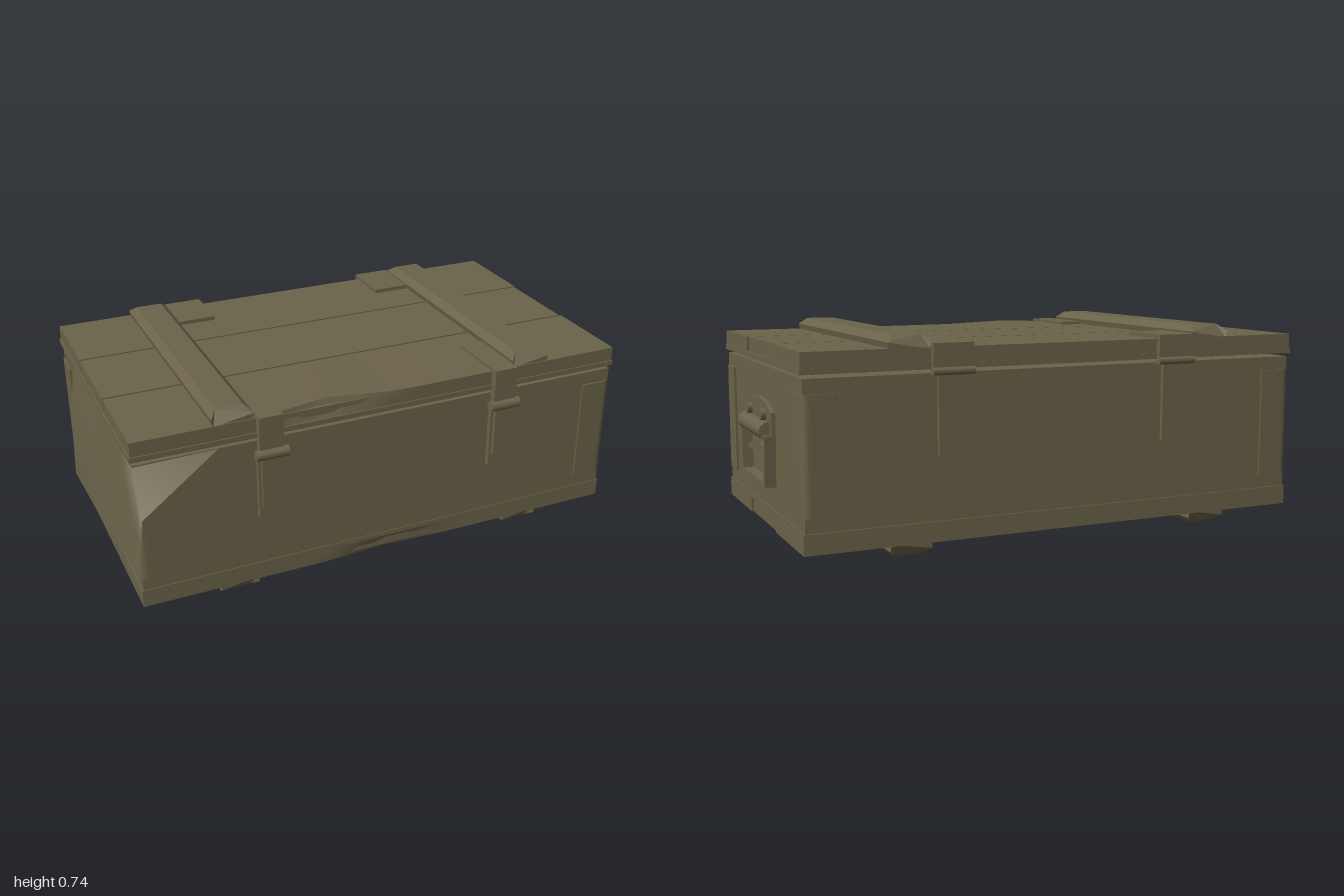
import * as THREE from 'three';
import { mergeVertices } from 'three/addons/utils/BufferGeometryUtils.js';

export function createModel() {
  const model = new THREE.Group();
  model.name = 'crate';
  const olive = new THREE.MeshStandardMaterial({ color: 0x6b6349 });
  olive.name = 'olive paint';
  const canvas = new THREE.MeshStandardMaterial({ color: 0x6b6349, side: THREE.DoubleSide });
  canvas.name = 'olive canvas';

  const add = (name, geo, parent = model, mat = olive) => {
    const mesh = new THREE.Mesh(geo, mat);
    mesh.name = name;
    parent.add(mesh);
    return mesh;
  };
  // Box from its limits
  const box = (name, x0, x1, y0, y1, z0, z1, parent = model, seg = 1) => {
    const g = new THREE.BoxGeometry(x1 - x0, y1 - y0, z1 - z0, seg, 1, 1);
    g.translate((x0 + x1) / 2, (y0 + y1) / 2, (z0 + z1) / 2);
    return add(name, g, parent);
  };
  const group = (name) => {
    const g = new THREE.Group();
    g.name = name;
    model.add(g);
    return g;
  };
  const polygon = (pts) => new THREE.Shape(pts.map((p) => new THREE.Vector2(...p)));
  const extrude = (shape, depth) =>
    new THREE.ExtrudeGeometry(shape, { depth, bevelEnabled: false, curveSegments: 6 });

  // Main body
  box('body', -0.935, 0.945, 0.105, 0.61, -0.625, 0.435);

  // Lid and base, three planks each, with worn front edges
  const lid = group('lid'), base = group('base');
  const strips = [[-0.63, -0.277], [-0.268, 0.075], [0.084, 0.435]];
  strips.forEach(([z0, z1], i) => {
    const end = i === 1 ? 0.945 : 0.952;
    const top = box('lidPlank', -0.94, end, 0.64, 0.695, z0, z1, lid, 16);
    const bottom = box('basePlank', -0.94, end, 0.043, 0.098, z0, z1, base, 16);
    if (i === 2) {
      for (const [mesh, centre, s] of [[top, -0.23, 1], [bottom, 0.02, -1]]) {
        const p = mesh.geometry.attributes.position;
        for (let k = 0; k < p.count; k++) {
          const outer = s > 0 ? p.getY(k) > 0.67 : p.getY(k) < 0.07;
          const bump = Math.max(0, 1 - Math.abs(p.getX(k) - centre) / 0.25);
          if (outer && p.getZ(k) > 0.4) {
            p.setY(k, p.getY(k) + s * 0.012 * bump);
            p.setZ(k, p.getZ(k) - 0.03 * bump);
          }
        }
        mesh.geometry.computeVertexNormals();
      }
    }
  });
  box('lidLiner', -0.932, 0.94, 0.63, 0.685, -0.622, 0.428, lid);
  box('lidRim', -0.945, 0.955, 0.623, 0.642, -0.633, 0.44, lid);
  box('baseLiner', -0.932, 0.94, 0.052, 0.11, -0.622, 0.428, base);
  box('baseRim', -0.94, 0.95, 0.096, 0.113, -0.63, 0.438, base);

  // Chamfered battens across the lid and under the base
  const battenProfile = [[-0.07, -0.005], [0.07, -0.005], [0.075, 0.02], [0.05, 0.044], [-0.05, 0.044], [-0.075, 0.02]];
  for (const x of [-0.58, 0.587]) {
    for (const s of [1, -1]) {
      const g = extrude(polygon(battenProfile), 1.06);
      const p = g.attributes.position;
      // Slope the ends inwards toward the outer face
      for (let k = 0; k < p.count; k++) {
        const cut = p.getY(k) > 0.03 ? 0.035 : 0;
        p.setZ(k, p.getZ(k) > 0.5 ? 1.06 - cut : cut);
      }
      if (s < 0) g.rotateZ(Math.PI);
      g.translate(x, s > 0 ? 0.695 : 0.045, -0.63);
      g.computeVertexNormals();
      add(s > 0 ? 'lidBatten' : 'baseBatten', g);
    }
  }

  // Metal wraps around the four vertical corners
  const rim = 0.03;
  for (const sx of [-1, 1]) {
    for (const sz of [-1, 1]) {
      const s = new THREE.Shape();
      s.moveTo(-0.125, 0);
      s.lineTo(-rim, 0);
      s.quadraticCurveTo(0, 0, 0, rim);
      s.lineTo(0, 0.13);
      s.lineTo(-0.125, 0.13);
      const g = extrude(s, 0.4);
      g.rotateX(-Math.PI / 2);
      // Quarter turns bring the rounded edge to each corner
      const turn = sx > 0 ? (sz > 0 ? 0 : Math.PI / 2) : (sz > 0 ? -Math.PI / 2 : Math.PI);
      g.rotateY(turn);
      g.translate(sx > 0 ? 0.953 : -0.943, 0.16, sz > 0 ? 0.442 : -0.632);
      add('cornerWrap', g);
    }
  }

  // Front latches and rear hinges
  for (const s of [-1, 1]) {
    const cx = s < 0 ? -0.455 : 0.465;
    const latch = group('latch');
    box('latchPlate', cx - 0.05, cx + 0.05, 0.31, 0.57, 0.43, 0.455, latch);
    box('latchLever', cx - 0.04, cx + 0.04, 0.36, 0.55, 0.45, 0.47, latch);
    box('latchLink', cx - 0.045, cx + 0.045, 0.55, 0.705, 0.436, 0.465, latch);
    box('lidStrap', cx - 0.045, cx + 0.045, 0.69, 0.707, 0.2, 0.465, latch);
    const pin = new THREE.CylinderGeometry(0.02, 0.02, 0.12, 10);
    pin.rotateZ(Math.PI / 2);
    pin.translate(cx, 0.565, 0.462);
    add('latchPin', pin, latch);

    const hinge = group('hinge');
    const hx = s < 0 ? -0.425 : 0.44;
    box('hingeStrap', hx - 0.073, hx + 0.073, 0.69, 0.71, -0.645, -0.445, hinge);
    box('hingeLeaf', hx - 0.073, hx + 0.073, 0.625, 0.71, -0.65, -0.625, hinge);
    box('hingePlate', hx - 0.05, hx + 0.05, 0.33, 0.61, -0.64, -0.62, hinge);
    const barrel = new THREE.CylinderGeometry(0.014, 0.014, 0.15, 10);
    barrel.rotateZ(Math.PI / 2);
    barrel.translate(hx, 0.617, -0.645);
    add('hingeBarrel', barrel, hinge);
  }

  // Carrying handle on the left end; outlines are (-z, y)
  const handle = group('handle');
  const onEnd = (name, shape, x, depth) => {
    const g = extrude(shape, depth);
    g.rotateY(Math.PI / 2);
    g.translate(x, 0, 0);
    return add(name, g, handle);
  };
  onEnd('mountPlate', polygon([[-0.09, 0.37], [0.28, 0.37], [0.28, 0.46], [0.2, 0.485], [0.1, 0.5], [-0.03, 0.485], [-0.09, 0.47]]), 0.94, 0.02);
  const frame = polygon([[-0.075, 0.2], [0.268, 0.2], [0.28, 0.38], [-0.088, 0.38]]);
  frame.holes.push(new THREE.Path([[-0.055, 0.217], [-0.065, 0.365], [0.258, 0.365], [0.25, 0.217]].map((p) => new THREE.Vector2(...p))));
  onEnd('handleFrame', frame, 0.945, 0.04);
  onEnd('innerRidge', polygon([[-0.06, 0.29], [0.25, 0.29], [0.25, 0.31], [0.1, 0.335], [-0.06, 0.31]]), 0.94, 0.02);
  const grip = new THREE.CylinderGeometry(0.032, 0.032, 0.32, 14);
  grip.rotateX(Math.PI / 2);
  grip.translate(0.967, 0.393, -0.095);
  add('grip', grip, handle);
  for (const z of [0.005, -0.193]) {
    const bolt = new THREE.CylinderGeometry(0.02, 0.02, 0.02, 8);
    bolt.rotateZ(Math.PI / 2);
    bolt.translate(0.967, 0.445, z);
    add('bolt', bolt, handle);
  }

  // Canvas flap hanging over the right end: top, middle and bottom of each section
  const sections = [
    [[-0.94, 0.6, -0.42], [-0.95, 0.4, -0.42], [-0.95, 0.17, -0.4]],
    [[-0.942, 0.615, -0.36], [-0.978, 0.46, -0.36], [-0.99, 0.18, -0.35]],
    [[-0.942, 0.615, 0], [-0.965, 0.46, 0], [-0.985, 0.2, 0]],
    [[-0.94, 0.615, 0.3], [-0.955, 0.48, 0.32], [-0.985, 0.25, 0.34]],
    [[-0.94, 0.61, 0.445], [-0.96, 0.46, 0.46], [-0.988, 0.285, 0.46]],
    [[-0.96, 0.51, 0.62], [-0.975, 0.42, 0.64], [-0.995, 0.315, 0.66]],
  ];
  const tri = [];
  const quad = (a, b, c, d) => tri.push(...a, ...b, ...c, ...a, ...c, ...d);
  for (let i = 0; i < sections.length - 1; i++) {
    for (let j = 0; j < 2; j++) {
      quad(sections[i][j], sections[i][j + 1], sections[i + 1][j + 1], sections[i + 1][j]);
    }
  }
  // Fold running along the front edge
  const fold = [-0.64, 0.612, 0.442];
  tri.push(...fold, ...sections[4][0], ...sections[5][0]);
  const cloth = new THREE.BufferGeometry();
  cloth.setAttribute('position', new THREE.Float32BufferAttribute(tri, 3));
  const smooth = mergeVertices(cloth, 1e-4);
  smooth.computeVertexNormals();
  add('canvasFlap', smooth, model, canvas);

  return model;
}
